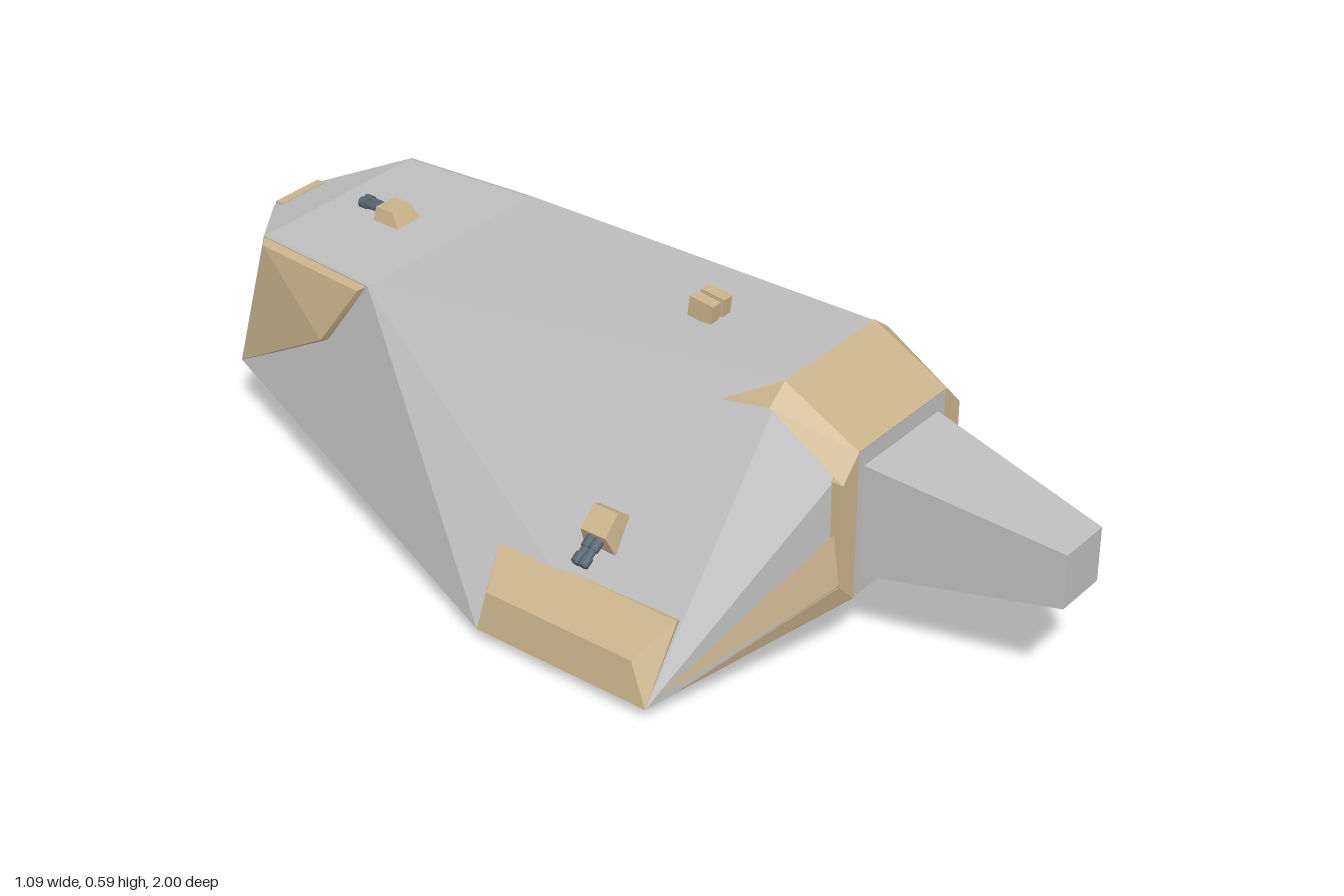
import * as THREE from 'three';
import { ConvexGeometry } from 'three/addons/geometries/ConvexGeometry.js';

const material = (name, color) => {
  const m = new THREE.MeshStandardMaterial({ color });
  m.name = name;
  return m;
};
const vec = (p) => new THREE.Vector3(...p);
const flip = ([x, y, z]) => [-x, y, z];

export function createModel() {
  const grey = material('hull grey', 0xbdbdbd);
  const tan = material('armour tan', 0xc9b28b);
  const dark = material('gun blue grey', 0x56646f);
  const model = new THREE.Group();
  model.name = 'armouredShip';

  const add = (name, geometry, mat, parent = model) => {
    const mesh = new THREE.Mesh(geometry, mat);
    mesh.name = name;
    parent.add(mesh);
    return mesh;
  };
  const solid = (name, pts, mat) => add(name, new ConvexGeometry(pts.map(vec)), mat);
  const pair = (name, pts, mat) => {
    solid(name + 'Left', pts, mat);
    solid(name + 'Right', pts.map(flip), mat);
  };

  // Hull corners on the left side, plus two keel points
  const P = {
    A: [0.147, 0.57, 0.42], G: [0.147, 0.48, 0.59], H: [0.147, 0.15, 0.59],
    D: [0.545, 0.03, 0.4], C: [0.545, 0.03, -0.02], B: [0.255, 0.485, -0.55],
    F: [0.23, 0.485, -0.87], E: [0.215, 0.135, -0.985],
    R: [0.07, 0.45, -1], S: [0.07, 0.26, -1],
    K: [0, 0, -0.62], L: [0, 0, -0.83],
  };
  const position = [];
  const inside = new THREE.Vector3(0, 0.25, -0.1);
  const tri = (a, b, c) => {
    const [u, v, w] = [a, b, c].map(vec);
    const n = v.clone().sub(u).cross(w.clone().sub(u));
    const outward = n.dot(u.clone().sub(inside)) > 0;
    position.push(...a, ...(outward ? b : c), ...(outward ? c : b));
  };
  // Side faces, mirrored
  for (const f of ['ABD', 'BCD', 'BCE', 'BEF', 'FRE', 'RSE', 'AGD', 'GHD', 'DCK', 'CEK', 'ELK']) {
    const pts = [...f].map((k) => P[k]);
    tri(...pts);
    tri(...pts.map(flip));
  }
  // Bands that cross the middle
  for (const f of ['HG', 'GA', 'AB', 'BF', 'FR', 'RS', 'SE', 'HD']) {
    const [a, b] = [...f].map((k) => P[k]);
    tri(a, b, flip(b));
    tri(a, flip(b), flip(a));
  }
  tri(P.D, flip(P.D), P.K);
  tri(P.E, flip(P.E), P.L);
  const hull = new THREE.BufferGeometry();
  hull.setAttribute('position', new THREE.Float32BufferAttribute(position, 3));
  hull.computeVertexNormals();
  add('hull', hull, grey);

  // Tapered nose
  const rect = (w, y0, y1, z) => [[-w, y0, z], [w, y0, z], [w, y1, z], [-w, y1, z]];
  solid('nose', [...rect(0.125, 0.19, 0.44, 0.585), ...rect(0.06, 0.255, 0.375, 1)], grey);

  // Tan brow across the front and its cheek plates
  const brow = [[0.147, 0.572, 0.42], [0.147, 0.482, 0.593], [0.147, 0.55, 0.42], [0.147, 0.465, 0.58]];
  solid('brow', [...brow, ...brow.map(flip)], tan);
  pair('browCheek', [[0.147, 0.482, 0.593], [0.147, 0.572, 0.42], [0.195, 0.43, 0.592],
    [0.195, 0.535, 0.42], [0.14, 0.44, 0.57], [0.14, 0.53, 0.42]], tan);
  pair('browSpike', [[0.147, 0.572, 0.42], [0.195, 0.535, 0.42], [0.165, 0.545, 0.38],
    [0.14, 0.53, 0.42], [0.196, 0.512, 0.305]], tan);
  const post = [[0.147, 0.15], [0.195, 0.2], [0.195, 0.43], [0.147, 0.48]];
  pair('frontPost', [...post.map((p) => [...p, 0.593]), ...post.map((p) => [...p, 0.565])], tan);

  // Struts running from the posts to the side pods
  pair('upperStrut', [[0.15, 0.31, 0.58], [0.195, 0.315, 0.576], [0.195, 0.205, 0.59],
    [0.15, 0.2, 0.58], [0.52, 0.055, 0.414]], tan);
  pair('lowerStrut', [[0.195, 0.2, 0.592], [0.147, 0.15, 0.592], [0.16, 0.18, 0.56],
    [0.49, 0.05, 0.429]], tan);

  // Side pods and rear flank plates
  pair('sidePod', [[0.545, 0.03, 0.4], [0.545, 0.03, -0.02], [0.53, 0.115, 0.355],
    [0.53, 0.115, -0.005], [0.447, 0.18, 0.4], [0.447, 0.18, -0.04],
    [0.42, 0.17, 0.395], [0.42, 0.17, -0.03]], tan);
  pair('rearPlate', [[0.25, 0.486, -0.55], [0.225, 0.486, -0.87], [0.21, 0.135, -0.98],
    [0.25, 0.32, -0.66], [0.266, 0.472, -0.57], [0.245, 0.472, -0.86],
    [0.231, 0.15, -0.965], [0.281, 0.328, -0.67]], tan);

  // Small trims at the tail and keel
  const tail = add('tailTrim', new THREE.BoxGeometry(0.13, 0.02, 0.02), tan);
  tail.position.set(0, 0.447, -0.99);
  const keel = add('keelTrim', new THREE.BoxGeometry(0.024, 0.01, 0.17), tan);
  keel.position.set(0, 0.006, -0.74);

  // Twin-barrelled gun pointing from one place to another
  const gun = (name, from, to, across) => {
    const group = new THREE.Group();
    group.name = name;
    const a = vec(from), d = vec(to).sub(a), length = d.length();
    group.position.copy(a);
    group.quaternion.setFromUnitVectors(new THREE.Vector3(0, 1, 0), d.normalize());
    for (const s of [-1, 1]) {
      for (const [r, l, y] of [[0.009, length, length / 2], [0.012, 0.02, length - 0.012], [0.012, 0.03, 0.03]]) {
        const barrel = add('barrel', new THREE.CylinderGeometry(r, r, l, 8), dark, group);
        barrel.position.set(across[0] * s, y, across[1] * s);
      }
    }
    model.add(group);
  };

  // Side turrets
  const mount = [];
  for (const s of [-1, 1]) {
    mount.push([0.35, 0.29, 0.18 + s * 0.037], [0.4, 0.215, 0.18 + s * 0.042],
      [0.387, 0.312, 0.18 + s * 0.03], [0.427, 0.275, 0.18 + s * 0.03]);
  }
  pair('sideTurretMount', mount, tan);
  for (const s of [-1, 1]) gun('sideGun', [s * 0.4, 0.27, 0.18], [s * 0.47, 0.226, 0.18], [0, 0.008]);

  // Rear top turret
  const base = [];
  for (const x of [-1, 1]) {
    base.push([x * 0.037, 0.48, -0.665], [x * 0.037, 0.48, -0.738],
      [x * 0.028, 0.515, -0.69], [x * 0.028, 0.515, -0.735]);
  }
  solid('topTurretMount', base, tan);
  gun('topGun', [0, 0.498, -0.69], [0, 0.498, -0.8], [0.007, 0]);

  // Twin sensor blocks on the roof
  for (const [x, w, h, l] of [[-0.018, 0.026, 0.045, 0.058], [0.018, 0.026, 0.045, 0.058], [0, 0.02, 0.03, 0.022]]) {
    const block = add('roofSensor', new THREE.BoxGeometry(w, h, l), tan);
    block.position.set(x, 0.545 + h / 2, 0.13);
    block.rotation.x = 0.12;
  }
  return model;
}
